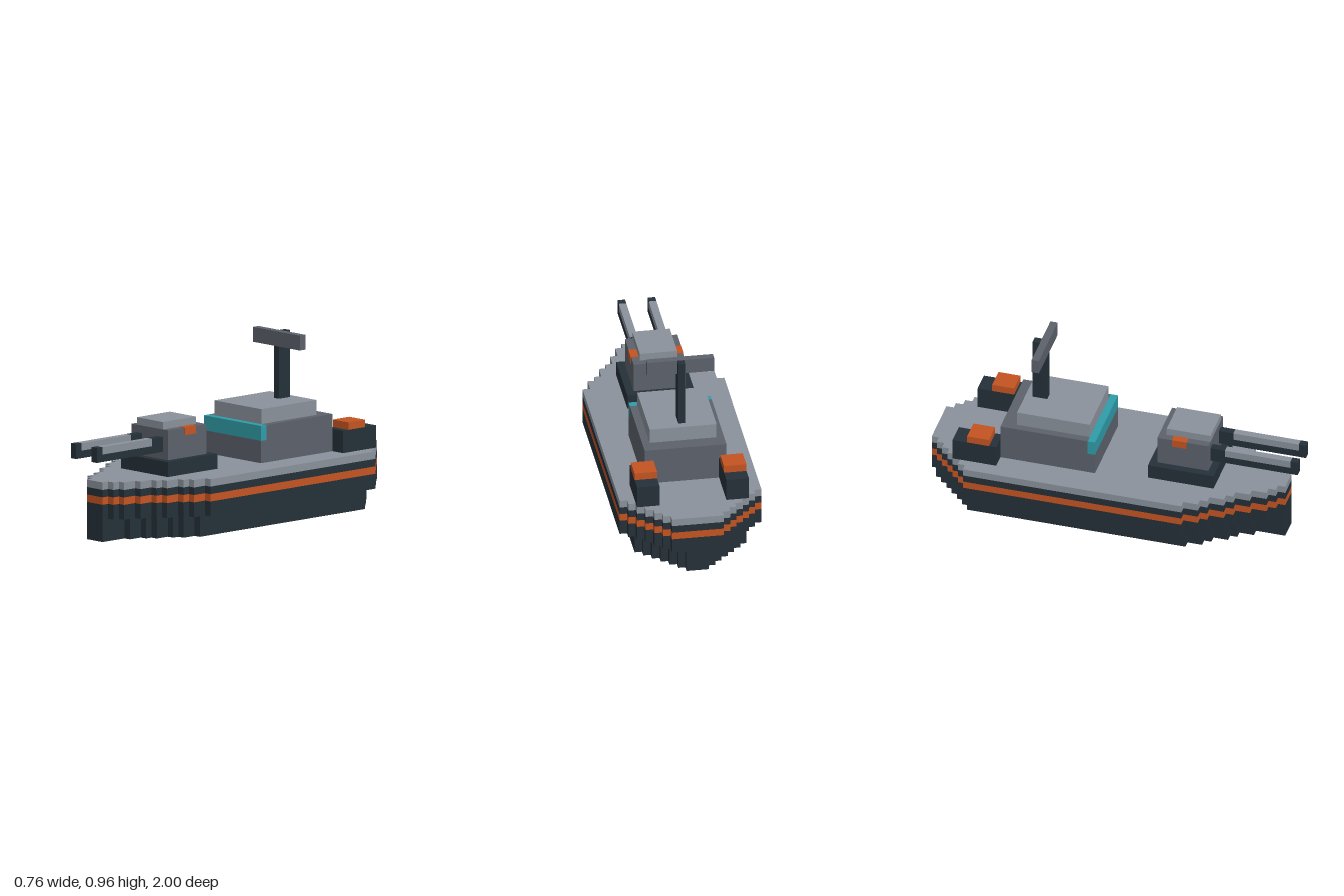
import * as THREE from 'three';

const mat = (name, color) => Object.assign(new THREE.MeshStandardMaterial({ color }), { name });

export function createModel() {
  const dark = mat('dark navy', 0x253039);
  const light = mat('light grey', 0x8a929b);
  const mid = mat('mid grey', 0x5c616b);
  const orange = mat('orange', 0xc45422);
  const teal = mat('teal', 0x2f9ca8);

  const ship = new THREE.Group();
  ship.name = 'gunboat';

  // Box given by its limits on each axis
  function box(name, material, [x0, x1], [y0, y1], [z0, z1], parent = ship) {
    const mesh = new THREE.Mesh(new THREE.BoxGeometry(x1 - x0, y1 - y0, z1 - z0), material);
    mesh.position.set((x0 + x1) / 2, (y0 + y1) / 2, (z0 + z1) / 2);
    mesh.name = name;
    parent.add(mesh);
    return mesh;
  }

  // Stepped hull plan, stern to bow: [end z, half width]
  const plan = [
    [-0.96, 0.14], [-0.92, 0.18], [-0.88, 0.22], [-0.84, 0.26], [-0.8, 0.3], [-0.76, 0.34],
    [0.44, 0.38], [0.52, 0.34], [0.56, 0.3], [0.64, 0.26], [0.68, 0.22],
    [0.76, 0.18], [0.84, 0.14], [0.88, 0.1], [0.92, 0.06],
  ];

  // One horizontal hull layer, narrowed by inset
  function hullLayer(name, material, y0, y1, inset = 0) {
    const side = [];
    let z = -1;
    for (const [end, half] of plan) {
      const w = Math.max(0.06, half - inset);
      side.push([w, z], [w, end]);
      z = end;
    }
    const outline = [...side, ...side.map(([x, zz]) => [-x, zz]).reverse()];
    const shape = new THREE.Shape(outline.map(([x, zz]) => new THREE.Vector2(x, -zz)));
    const geometry = new THREE.ExtrudeGeometry(shape, { depth: y1 - y0, bevelEnabled: false });
    geometry.rotateX(-Math.PI / 2);
    const mesh = new THREE.Mesh(geometry, material);
    mesh.position.y = y0;
    mesh.name = name;
    ship.add(mesh);
  }
  hullLayer('keel', dark, 0, 0.12, 0.08);
  hullLayer('hullSide', dark, 0.12, 0.2);
  hullLayer('hullStripe', orange, 0.2, 0.24);
  hullLayer('hullRim', dark, 0.24, 0.28);
  hullLayer('deck', light, 0.28, 0.32);

  // Gun turret
  const turret = new THREE.Group();
  turret.name = 'turret';
  ship.add(turret);
  box('turretBase', dark, [-0.18, 0.18], [0.32, 0.4], [0.2, 0.56], turret);
  box('turretBody', mid, [-0.14, 0.14], [0.4, 0.56], [0.24, 0.52], turret);
  box('turretRoof', light, [-0.1, 0.1], [0.56, 0.6], [0.28, 0.52], turret);

  // Bridge with its wraparound front window
  const bridge = new THREE.Group();
  bridge.name = 'bridge';
  ship.add(bridge);
  box('bridgeBody', mid, [-0.22, 0.22], [0.32, 0.52], [-0.6, -0.12], bridge);
  box('bridgeFront', mid, [-0.22, 0.22], [0.32, 0.44], [-0.12, -0.08], bridge);
  box('bridgeWindow', teal, [-0.22, 0.22], [0.44, 0.52], [-0.12, -0.08], bridge);
  box('bridgeRoof', light, [-0.18, 0.18], [0.52, 0.6], [-0.52, -0.12], bridge);

  // Mast and radar bar
  box('mast', dark, [-0.02, 0.02], [0.6, 0.88], [-0.48, -0.4]);
  box('mastTop', dark, [-0.02, 0.02], [0.88, 0.96], [-0.48, -0.44]);
  box('radar', mid, [-0.18, 0.18], [0.88, 0.96], [-0.44, -0.4]);

  // Mirrored parts: barrels, turret markers and stern lockers
  for (const s of [1, -1]) {
    const span = (a, b) => (s > 0 ? [a, b] : [-b, -a]);
    const label = s > 0 ? 'left' : 'right';
    box(label + 'BarrelUnderside', dark, span(0.06, 0.1), [0.44, 0.48], [0.52, 1], turret);
    box(label + 'BarrelBreech', dark, span(0.06, 0.1), [0.48, 0.52], [0.52, 0.6], turret);
    box(label + 'BarrelTop', light, span(0.06, 0.1), [0.48, 0.52], [0.6, 0.96], turret);
    box(label + 'Muzzle', dark, span(0.06, 0.1), [0.48, 0.52], [0.96, 1], turret);
    box(label + 'TurretMarker', orange, span(0.1, 0.142), [0.52, 0.562], [0.32, 0.4], turret);
    box(label + 'SternLocker', dark, span(0.18, 0.3), [0.32, 0.44], [-0.84, -0.6]);
    box(label + 'SternLockerLid', orange, span(0.18, 0.3), [0.44, 0.48], [-0.76, -0.64]);
  }

  return ship;
}
